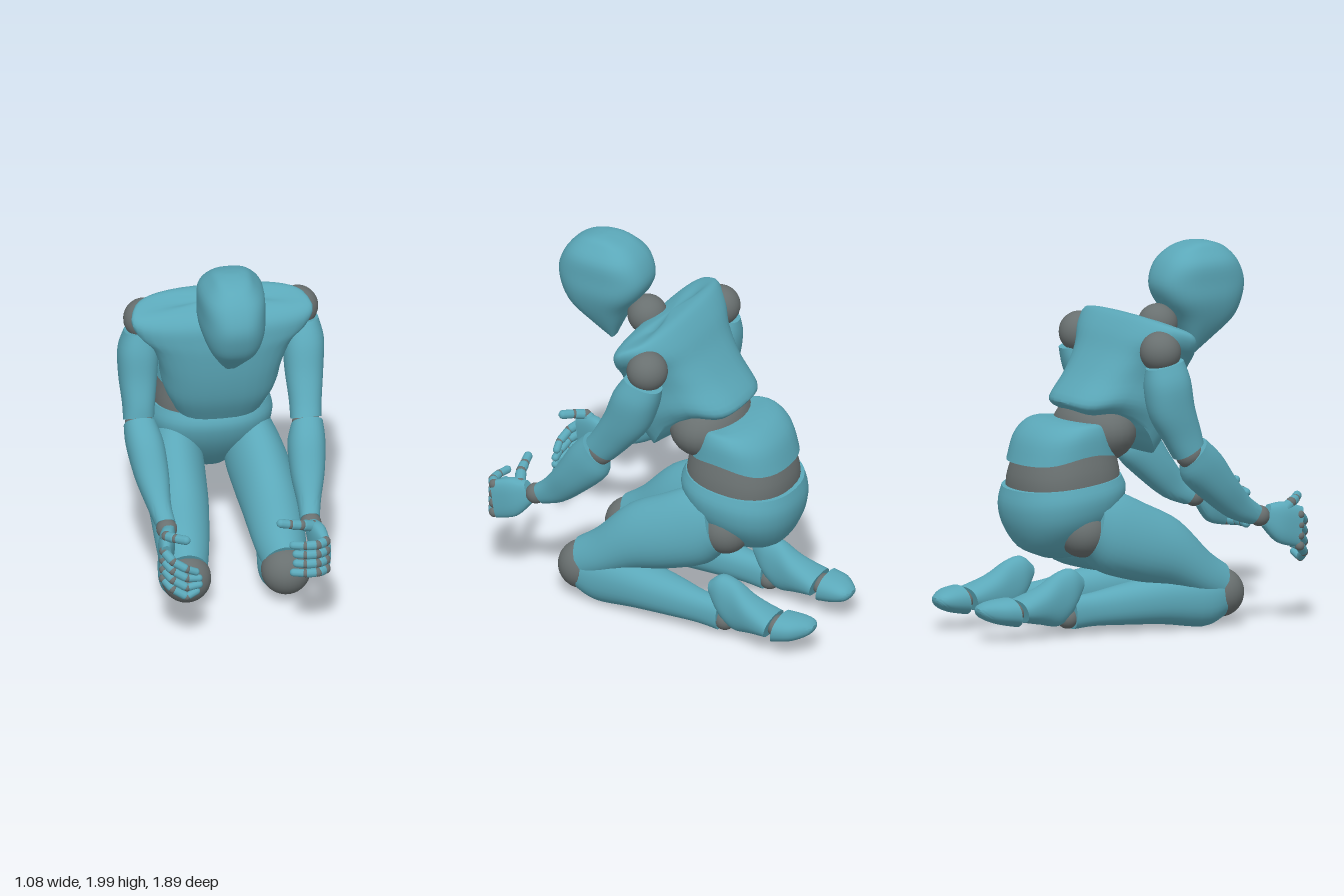
import * as THREE from 'three';
import { toCreasedNormals } from 'three/addons/utils/BufferGeometryUtils.js';

const shell = new THREE.MeshStandardMaterial({ color: 0x5ba8b9 });
shell.name = 'teal shell';
const joint = new THREE.MeshStandardMaterial({ color: 0x697070 });
joint.name = 'grey joint';

// Skin over cross-sections [zFront, yFront, zBack, yBack, xCentre, halfWidth].
// n sets how square each section is; taper widens its front and narrows its back;
// bow lifts its sides along the loft, from first to last section.
function loft(name, material, sections, { n = 2.3, taper = 0, bow = [0, 0], steps = 4, sides = 36 } = {}) {
  const rows = [];
  const last = sections.length - 1;
  for (let i = 0; i < last; i++) {
    const p = [i - 1, i, i + 1, i + 2].map(k => sections[Math.min(last, Math.max(0, k))]);
    for (let s = 0; s < steps + (i === last - 1 ? 1 : 0); s++) {
      const t = s / steps;
      rows.push(p[1].map((b, k) => {
        const a = p[0][k], c = p[2][k], d = p[3][k];
        return b + 0.5 * t * (c - a + t * (2 * a - 5 * b + 4 * c - d + t * (3 * (b - c) + d - a)));
      }));
    }
  }
  const a = rows[0], z = rows[rows.length - 1];
  const ty = (z[1] + z[3] - a[1] - a[3]) / 2, tz = (z[0] + z[2] - a[0] - a[2]) / 2;
  const flip = (a[0] - a[2]) * ty - (a[1] - a[3]) * tz < 0 ? -1 : 1;
  const tl = Math.hypot(ty, tz);
  const pos = [], idx = [];
  const pw = v => Math.sign(v) * Math.abs(v) ** (2 / n);
  rows.forEach(([zf, yf, zb, yb, cx, w], i) => {
    const rise = THREE.MathUtils.lerp(bow[0], bow[1], i / (rows.length - 1));
    for (let j = 0; j < sides; j++) {
      const th = (j / sides) * Math.PI * 2;
      const c = pw(Math.cos(th)), s = pw(Math.sin(th)), lift = rise * Math.sin(th) ** 6;
      pos.push(cx + flip * s * w * (1 + taper * c),
        (yf + yb) / 2 + c * (yf - yb) / 2 + lift * ty / tl,
        (zf + zb) / 2 + c * (zf - zb) / 2 + lift * tz / tl);
    }
  });
  for (let i = 0; i < rows.length - 1; i++) {
    for (let j = 0; j < sides; j++) {
      const p = i * sides + j, q = i * sides + (j + 1) % sides;
      idx.push(p, q, q + sides, p, q + sides, p + sides);
    }
  }
  // end caps
  [a, z].forEach((r, e) => {
    const base = e ? (rows.length - 1) * sides : 0, mid = pos.length / 3;
    pos.push(r[4], (r[1] + r[3]) / 2, (r[0] + r[2]) / 2);
    for (let j = 0; j < sides; j++) {
      const p = base + j, q = base + (j + 1) % sides;
      if (e) idx.push(mid, p, q); else idx.push(mid, q, p);
    }
  });
  const g = new THREE.BufferGeometry();
  g.setAttribute('position', new THREE.Float32BufferAttribute(pos, 3));
  g.setIndex(idx);
  const m = new THREE.Mesh(toCreasedNormals(g, 0.7), material);
  m.name = name;
  return m;
}

function ball(name, x, y, z, rx, ry = rx, rz = rx) {
  const m = new THREE.Mesh(new THREE.SphereGeometry(1, 28, 18), joint);
  m.position.set(x, y, z);
  m.scale.set(rx, ry, rz);
  m.name = name;
  return m;
}

// Jointed finger: a teal segment between points, a grey ball at each knuckle
function finger(name, points, r) {
  const g = new THREE.Group();
  g.name = name;
  const v = points.map(p => new THREE.Vector3(...p));
  for (let i = 0; i < v.length - 1; i++) {
    const d = v[i + 1].clone().sub(v[i]), len = d.length(), rad = r * (1 - 0.1 * i);
    const seg = new THREE.Mesh(new THREE.CapsuleGeometry(rad, Math.max(0.01, len - rad * 1.3), 4, 10), shell);
    seg.position.copy(v[i]).addScaledVector(d, 0.5);
    seg.quaternion.setFromUnitVectors(new THREE.Vector3(0, 1, 0), d.normalize());
    seg.name = name + 'Segment';
    g.add(seg, ball(name + 'Joint', v[i].x, v[i].y, v[i].z, rad));
  }
  return g;
}

function arm(name, { shoulder, elbow, wrist, ez, wz }) {
  const g = new THREE.Group();
  g.name = name;
  const s = Math.sign(shoulder);
  const mix = THREE.MathUtils.lerp;
  const upper = [[.1, 1.46, -.105, 1.415, .075], [.165, 1.36, -.08, 1.31, .105], [.22, 1.22, -.02, 1.16, .1],
    [.29, 1.09, .09, 1.03, .085], [.335, 1.025, .18, .935, .08]];
  const lower = [[.35, 1.035, .23, .9, .083], [.435, .945, .235, .81, .098], [.52, .81, .36, .69, .088],
    [.6, .7, .49, .59, .062], [.665, .64, .605, .545, .052]];
  const place = (list, x0, x1, z0, z1) => list.map(([zf, yf, zb, yb, w], i) => {
    const t = i / (list.length - 1), dz = mix(z0, z1, t);
    return [zf + dz, yf, zb + dz, yb, mix(x0, x1, t), w];
  });
  g.add(ball('shoulderBall', shoulder, 1.5, -.01, .108),
    loft('upperArm', shell, place(upper, shoulder + s * .03, elbow, 0, ez)),
    ball('elbowBall', elbow, .955, .265 + ez, .073),
    loft('forearm', shell, place(lower, elbow, wrist, ez, wz)),
    ball('wristBall', wrist, .585, .665 + wz, .055),
    loft('palm', shell, place([[.725, .64, .68, .53, .035], [.8, .65, .76, .44, .045],
      [.9, .62, .87, .41, .03]], wrist, wrist + s * .04, wz, wz), { n: 2.8 }));
  return g;
}

function leg(name, { hip, knee, ankle, toe }) {
  const g = new THREE.Group();
  g.name = name;
  const m = (a, b, t) => a + (b - a) * t;
  const tip = toe - Math.sign(hip) * .04;
  g.add(ball('hipBall', hip * .93, .55, -.36, .13),
    loft('thigh', shell, [
      [-.27, .76, -.36, .43, hip, .12], [-.15, .75, -.27, .34, hip, .15],
      [0, .68, -.08, .28, m(hip, knee, .35), .158], [.19, .58, .1, .24, m(hip, knee, .6), .152],
      [.36, .41, .27, .17, m(hip, knee, .85), .135], [.47, .33, .38, .12, knee, .115]], { n: 2.05, taper: -.14 }),
    ball('kneeBall', knee, .18, .44, .13),
    loft('shin', shell, [
      [.42, .29, .43, .05, knee, .12], [.32, .3, .32, .01, knee, .13],
      [.1, .29, .1, .035, m(knee, ankle, .35), .122], [-.1, .26, -.1, .045, m(knee, ankle, .6), .1],
      [-.28, .225, -.28, .05, m(knee, ankle, .85), .072], [-.41, .21, -.4, .04, ankle, .06]]),
    ball('ankleBall', ankle, .1, -.43, .055),
    loft('foot', shell, [
      [-.345, .31, -.35, .24, ankle, .035], [-.41, .36, -.41, .13, ankle, .065],
      [-.5, .34, -.49, .065, ankle, .072], [-.6, .275, -.6, .08, m(ankle, toe, .5), .09],
      [-.74, .22, -.71, .1, toe, .108]]),
    ball('toeJoint', toe, .155, -.75, .07, .055, .05),
    loft('toes', shell, [
      [-.78, .235, -.75, .08, toe, .11], [-.86, .225, -.85, .1, m(toe, tip, .4), .1],
      [-.92, .205, -.92, .13, tip, .065], [-.945, .185, -.945, .16, tip, .03]]));
  return g;
}

export function createModel() {
  const model = new THREE.Group();
  model.name = 'kneelingFigure';

  // Head and neck
  model.add(loft('head', shell, [
    [.415, 1.405, .395, 1.41, 0, .03], [.52, 1.49, .355, 1.5, 0, .085], [.64, 1.59, .305, 1.6, 0, .135],
    [.69, 1.69, .225, 1.7, 0, .167], [.705, 1.79, .195, 1.79, 0, .17], [.665, 1.89, .23, 1.89, 0, .165],
    [.6, 1.96, .3, 1.96, 0, .115], [.53, 1.99, .38, 1.99, 0, .08], [.47, 2, .44, 2, 0, .03]],
  { n: 2.7, taper: -.1 }),
  ball('neckBall', 0, 1.58, .21, .105));

  // Trunk, from chest down to pelvis
  model.add(
    loft('chest', shell, [
      [.1, .92, -.36, 1.19, 0, .255], [.17, 1.05, -.375, 1.23, 0, .3], [.21, 1.2, -.27, 1.35, 0, .32],
      [.23, 1.36, -.18, 1.47, 0, .37], [.23, 1.45, -.12, 1.57, 0, .445], [.22, 1.53, -.06, 1.64, 0, .465],
      [.18, 1.585, -.02, 1.66, 0, .41], [.12, 1.62, .02, 1.655, 0, .22]],
    { n: 2.9, taper: .12, bow: [.09, -.02] }),
    ball('abdomenBall', .01, 1.06, -.17, .275, .18, .2),
    loft('belly', shell, [
      [-.09, .94, -.635, .905, .01, .285], [-.125, 1.03, -.59, 1.03, .01, .28],
      [-.16, 1.09, -.52, 1.1, .01, .255], [-.2, 1.11, -.44, 1.125, .01, .22]], { taper: -.08, bow: [.04, 0] }),
    loft('waist', joint, [
      [-.08, .73, -.64, .68, .01, .3], [-.08, .85, -.642, .81, .01, .295], [-.1, .96, -.61, .92, .01, .265]],
    { bow: [0, .035] }),
    loft('pelvis', shell, [
      [-.075, .845, -.665, .77, .01, .31], [-.05, .77, -.685, .68, .01, .33], [-.09, .65, -.665, .57, .01, .3],
      [-.19, .51, -.6, .46, .01, .2], [-.3, .41, -.48, .405, .01, .09]]));

  // Limbs
  model.add(
    arm('leftArm', { shoulder: .42, elbow: .42, wrist: .38, ez: 0, wz: 0 }),
    arm('rightArm', { shoulder: -.39, elbow: -.44, wrist: -.37, ez: -.13, wz: -.06 }),
    leg('leftLeg', { hip: .22, knee: .285, ankle: .35, toe: .37 }),
    leg('rightLeg', { hip: -.2, knee: -.24, ankle: -.15, toe: -.14 }));

  // Fingers curl inward, the right hand hanging lower
  for (let i = 0; i < 4; i++) {
    const y = .6 - i * .055, out = .02 * Math.sin(i);
    model.add(
      finger('leftFinger', [[.42, y, .89], [.375, y, .92], [.31, y, .92], [.235 + out, y, .9]], .027),
      finger('rightFinger', [[-.42, y - .02, .82], [-.38, y - .06, .87], [-.31, y - .1, .89],
        [-.25 + out, y - .13 + i * .02, .88]], .025));
  }
  model.add(
    finger('leftThumb', [[.38, .62, .76], [.31, .65, .79], [.25, .665, .8], [.185, .685, .81]], .03),
    finger('rightThumb', [[-.4, .6, .73], [-.4, .645, .78], [-.36, .655, .83], [-.3, .665, .88]], .03));
  return model;
}
